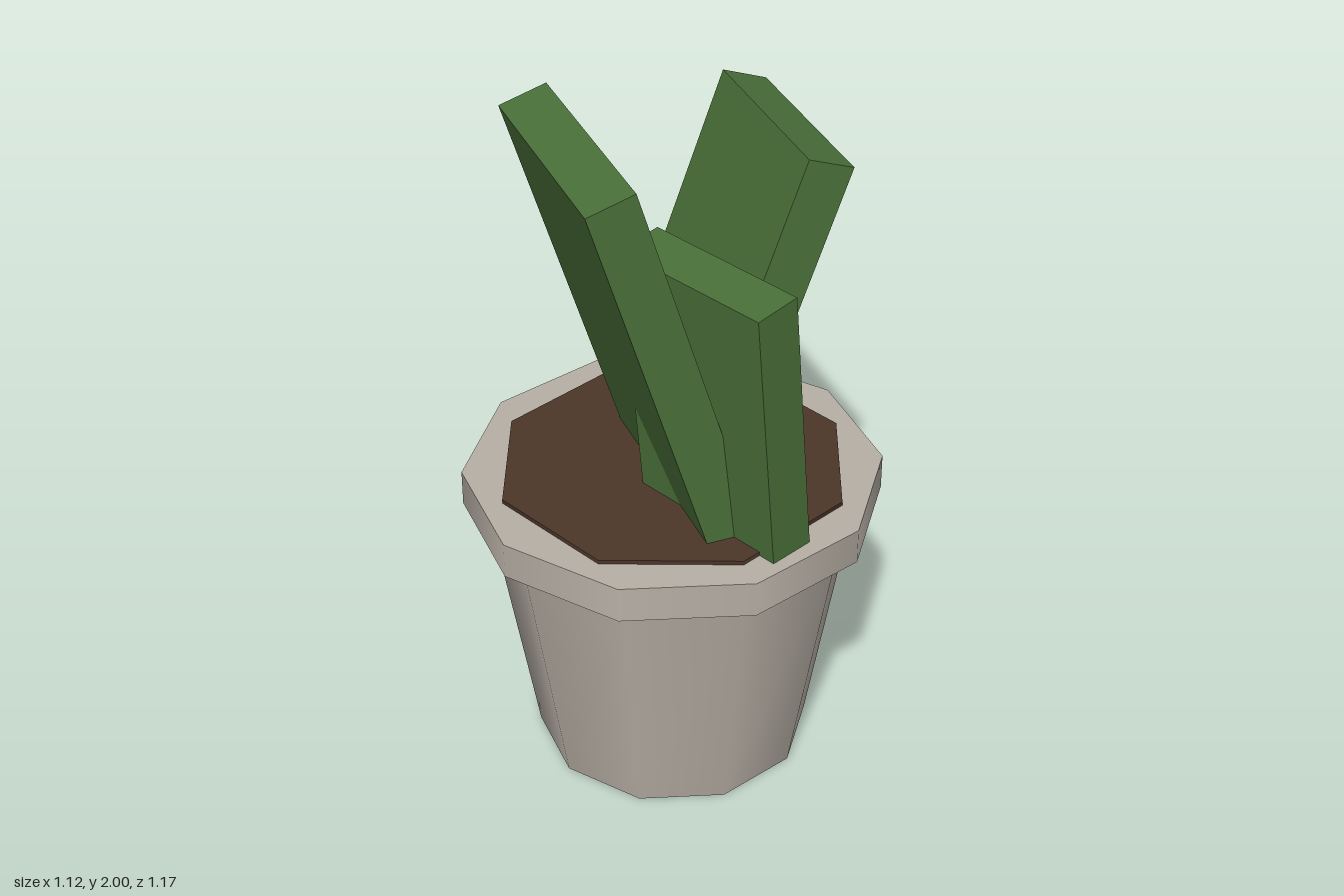
import * as THREE from 'three';

const potMat = new THREE.MeshStandardMaterial({ color: 0xb8b0a6 });
const soilMat = new THREE.MeshStandardMaterial({ color: 0x4d3629 });
const leafMat = new THREE.MeshStandardMaterial({ color: 0x4a7039 });

// Upright cylinder or cone section between two heights
function drum(name, rTop, rBottom, y0, y1, sides, material) {
  const mesh = new THREE.Mesh(new THREE.CylinderGeometry(rTop, rBottom, y1 - y0, sides), material);
  mesh.name = name;
  mesh.position.y = (y0 + y1) / 2;
  return mesh;
}

// Flat slab leaf hung from the centre of its tip, leaning by tilt and turned by yaw
function leaf(name, [x, y, z], depth, tilt, yaw = 0) {
  const root = 0.86; // the foot is buried inside the rim
  const length = (y - root) / Math.cos(tilt);
  const geometry = new THREE.BoxGeometry(0.138, length, depth).translate(0, -length / 2, 0);
  const mesh = new THREE.Mesh(geometry, leafMat);
  mesh.name = name;
  mesh.position.set(x, y, z);
  mesh.rotation.set(0, yaw, tilt, 'YXZ');
  return mesh;
}

export function createModel() {
  const group = new THREE.Group();
  group.name = 'pottedPlant';
  const deg = THREE.MathUtils.degToRad;

  // Ten-sided pot with overhanging rim, eight-sided soil
  group.add(
    drum('potBody', 0.527, 0.393, 0, 0.8, 10, potMat),
    drum('potRim', 0.587, 0.587, 0.795, 0.9, 10, potMat),
    drum('soil', 0.5, 0.5, 0.86, 0.912, 8, soilMat)
  );

  // Three leaning leaves
  group.add(
    leaf('tallLeaf', [-0.317, 1.98, 0.07], 0.645, deg(17.1)),
    leaf('backLeaf', [0.385, 1.832, -0.145], 0.57, deg(-20)),
    leaf('frontLeaf', [-0.03, 1.683, 0.3], 0.495, deg(5.8), deg(22.5))
  );
  return group;
}
